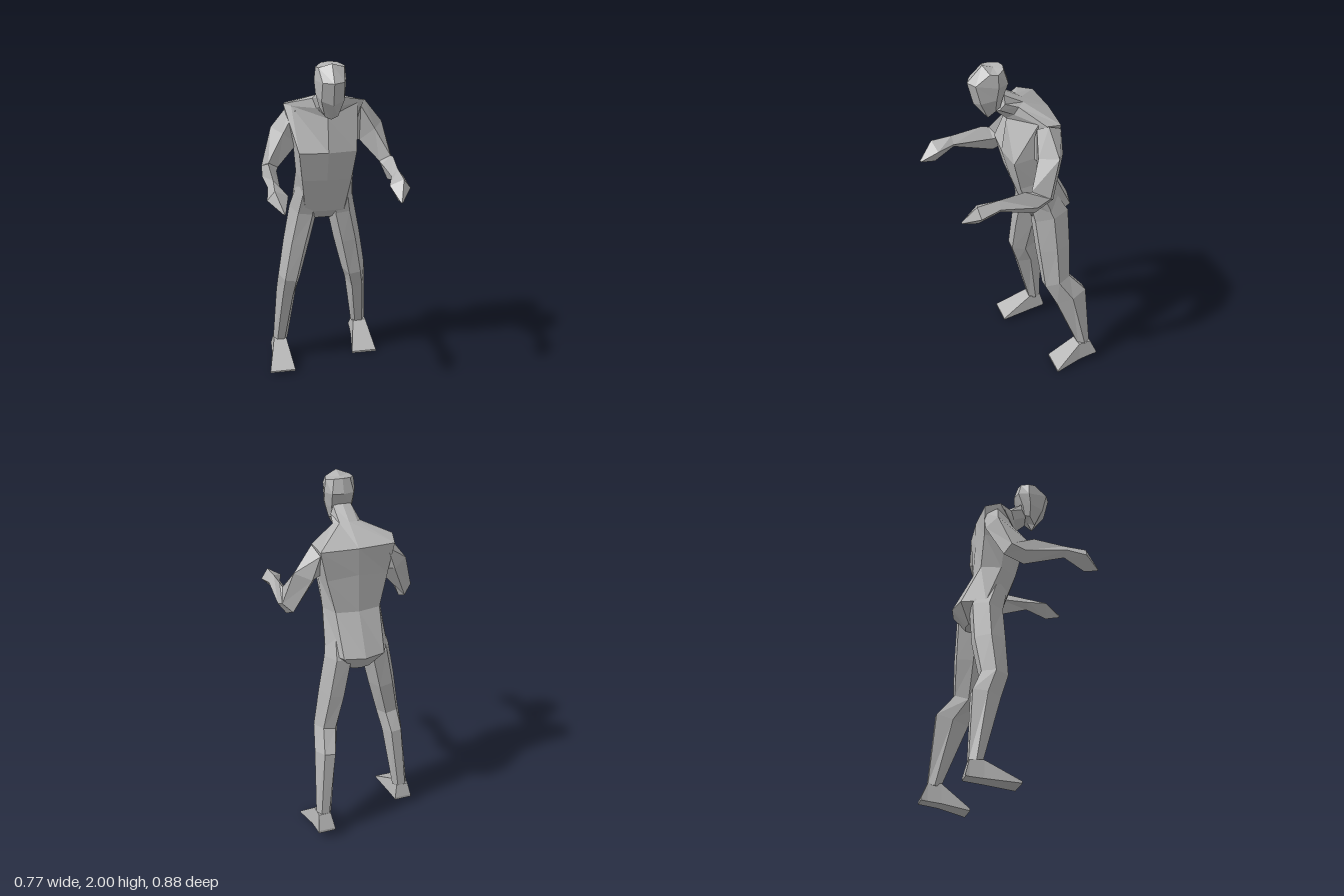
import * as THREE from 'three';

const grey = new THREE.MeshStandardMaterial({ color: 0xb4b4b4, flatShading: true });
grey.name = 'plain grey';

// Skin a list of equal-length rings of [x, y, z], capped at both ends, facing outward
function loft(name, rings) {
  const tris = [];
  const n = rings[0].length;
  for (let r = 0; r < rings.length - 1; r++) {
    for (let i = 0; i < n; i++) {
      const j = (i + 1) % n;
      const a = rings[r][i], b = rings[r][j], c = rings[r + 1][j], d = rings[r + 1][i];
      tris.push([a, b, c], [a, c, d]);
    }
  }
  const cap = (ring, flip) => {
    const mid = [0, 1, 2].map(k => ring.reduce((s, p) => s + p[k], 0) / n);
    ring.forEach((p, i) => {
      const q = ring[(i + 1) % n];
      tris.push(flip ? [q, p, mid] : [p, q, mid]);
    });
  };
  cap(rings[0], true);
  cap(rings[rings.length - 1], false);

  // Signed volume tells whether the winding must be reversed
  let volume = 0;
  for (const [a, b, c] of tris) {
    volume += new THREE.Vector3(...a).dot(new THREE.Vector3(...b).cross(new THREE.Vector3(...c)));
  }
  if (volume < 0) tris.forEach(t => t.reverse());
  const geo = new THREE.BufferGeometry();
  geo.setAttribute('position', new THREE.Float32BufferAttribute(tris.flat(2), 3));
  geo.computeVertexNormals();
  const mesh = new THREE.Mesh(geo, grey);
  mesh.name = name;
  return mesh;
}

// Mirror a half section (front centre to back centre) about the body's midline
const midX = -0.015;
function section(half) {
  const left = half.map(([x, y, z]) => [midX + x, y, z]);
  const right = half.slice(1, -1).reverse().map(([x, y, z]) => [midX - x, y, z]);
  return [...left, ...right];
}

// Six-sided limb through stations [x, y, z, half width, half depth], each ring square to the path
function limb(name, stations) {
  const pts = stations.map(s => new THREE.Vector3(s[0], s[1], s[2]));
  const rings = stations.map((s, i) => {
    const dir = pts[Math.min(i + 1, pts.length - 1)].clone().sub(pts[Math.max(i - 1, 0)]).normalize();
    const side = new THREE.Vector3(1, 0, 0).addScaledVector(dir, -dir.x).normalize();
    const deep = dir.clone().cross(side);
    return Array.from({ length: 6 }, (_, k) => {
      const a = (k / 6) * Math.PI * 2;
      return pts[i].clone().addScaledVector(side, Math.cos(a) * s[3])
        .addScaledVector(deep, Math.sin(a) * s[4]).toArray();
    });
  });
  return loft(name, rings);
}

// Wedge foot: heel, instep and toe quads [z, bottom, top, x from, x to, lean]
function foot(name, quads) {
  return loft(name, quads.map(([z, y0, y1, x0, x1, lean = 0]) =>
    [[x0, y0, z], [x1, y0, z], [x1 - lean, y1, z], [x0 + lean, y1, z]]));
}

export function createModel() {
  const model = new THREE.Group();
  model.name = 'figure';

  const neckBase = [[0, 1.665, 0.03], [0.06, 1.715, 0.01], [0.078, 1.765, -0.01], [0.05, 1.775, -0.045], [0, 1.78, -0.055]];

  // Torso from neck to crotch
  model.add(loft('torso', [
    neckBase,
    [[0, 1.66, 0.032], [0.185, 1.705, -0.08], [0.225, 1.71, -0.11], [0.205, 1.69, -0.198], [0, 1.69, -0.21]],
    [[0, 1.47, 0.06], [0.16, 1.47, 0.045], [0.18, 1.5, -0.07], [0.17, 1.52, -0.192], [0, 1.54, -0.21]],
    [[0, 1.29, 0.01], [0.14, 1.29, 0], [0.165, 1.32, -0.09], [0.125, 1.33, -0.2], [0, 1.33, -0.222]],
    [[0, 1.065, -0.07], [0.112, 1.065, -0.08], [0.18, 1.09, -0.18], [0.115, 1.1, -0.31], [0, 1.1, -0.338]],
    [[0, 0.99, -0.15], [0.045, 0.99, -0.15], [0.055, 0.99, -0.2], [0.05, 1.0, -0.25], [0, 1.0, -0.26]],
  ].map(section)));

  // Neck leaning forward
  model.add(loft('neck', [
    [[0, 1.72, 0.09], [0.05, 1.75, 0.085], [0.065, 1.79, 0.06], [0.05, 1.835, 0.06], [0, 1.845, 0.055]],
    neckBase,
  ].map(section)));

  // Head, tipped forward
  model.add(loft('head', [
    [[0, 2.0, 0.16], [0.068, 1.975, 0.14], [0.078, 1.97, 0.1], [0.045, 1.98, 0.06], [0, 1.983, 0.05]],
    [[0, 1.915, 0.243], [0.057, 1.915, 0.215], [0.086, 1.9, 0.1], [0.06, 1.905, 0.04], [0, 1.905, 0.025]],
    [[0, 1.79, 0.212], [0.06, 1.81, 0.19], [0.08, 1.83, 0.11], [0.055, 1.82, 0.07], [0, 1.815, 0.062]],
    [[0, 1.69, 0.135], [0.035, 1.71, 0.145], [0.06, 1.755, 0.11], [0.045, 1.765, 0.08], [0, 1.765, 0.07]],
  ].map(section)));

  // Arms: four-sided rings of outer, front/top, inner and back/bottom points
  const arm = [
    [[0.215, 1.71, -0.12], [0.185, 1.69, -0.065], [0.13, 1.5, -0.05], [0.19, 1.67, -0.198]],
    [[0.32, 1.57, -0.14], [0.262, 1.56, -0.045], [0.18, 1.49, -0.07], [0.235, 1.54, -0.195]],
    [[0.37, 1.37, -0.075], [0.34, 1.42, 0.02], [0.285, 1.375, -0.02], [0.32, 1.325, -0.11]],
    [[0.375, 1.335, 0], [0.345, 1.43, 0.06], [0.295, 1.365, 0.01], [0.33, 1.27, 0]],
    [[0.37, 1.37, 0.2], [0.34, 1.41, 0.2], [0.305, 1.37, 0.2], [0.34, 1.335, 0.19]],
    [[0.385, 1.345, 0.31], [0.345, 1.4, 0.32], [0.273, 1.36, 0.3], [0.32, 1.275, 0.31]],
    [[0.325, 1.3, 0.398], [0.32, 1.308, 0.4], [0.313, 1.3, 0.398], [0.32, 1.294, 0.395]],
  ];
  model.add(loft('leftArm', arm));
  // The right arm reaches a little further forward
  model.add(loft('rightArm', arm.map((ring, i) =>
    ring.map(([x, y, z]) => [i > 1 && i < 6 ? -x - 0.003 : 0.01 - x, y, z + (i > 3 ? 0.043 : 0)]))));

  // Legs: the left one trails behind the right
  model.add(limb('leftLeg', [
    [0.08, 1.23, -0.12, 0.06, 0.08],
    [0.092, 1.06, -0.187, 0.082, 0.115],
    [0.133, 0.85, -0.195, 0.08, 0.105],
    [0.177, 0.63, -0.205, 0.07, 0.09],
    [0.205, 0.51, -0.285, 0.062, 0.11],
    [0.245, 0.14, -0.368, 0.045, 0.042],
  ]));
  model.add(limb('rightLeg', [
    [-0.11, 1.23, -0.11, 0.06, 0.08],
    [-0.128, 1.06, -0.165, 0.085, 0.1],
    [-0.174, 0.85, -0.158, 0.078, 0.1],
    [-0.222, 0.63, -0.14, 0.067, 0.085],
    [-0.238, 0.51, -0.185, 0.06, 0.09],
    [-0.275, 0.13, -0.245, 0.045, 0.042],
  ]));

  // Wedge feet
  model.add(foot('leftFoot', [
    [-0.442, 0.05, 0.065, 0.2, 0.3],
    [-0.405, 0.045, 0.15, 0.2, 0.3, 0.015],
    [-0.33, 0.035, 0.15, 0.195, 0.305, 0.015],
    [-0.175, 0, 0.012, 0.175, 0.33],
  ]));
  model.add(foot('rightFoot', [
    [-0.3, 0.045, 0.06, -0.33, -0.23],
    [-0.28, 0.042, 0.135, -0.33, -0.23, 0.015],
    [-0.205, 0.035, 0.135, -0.335, -0.225, 0.015],
    [-0.02, 0.015, 0.025, -0.365, -0.21],
  ]));

  return model;
}
